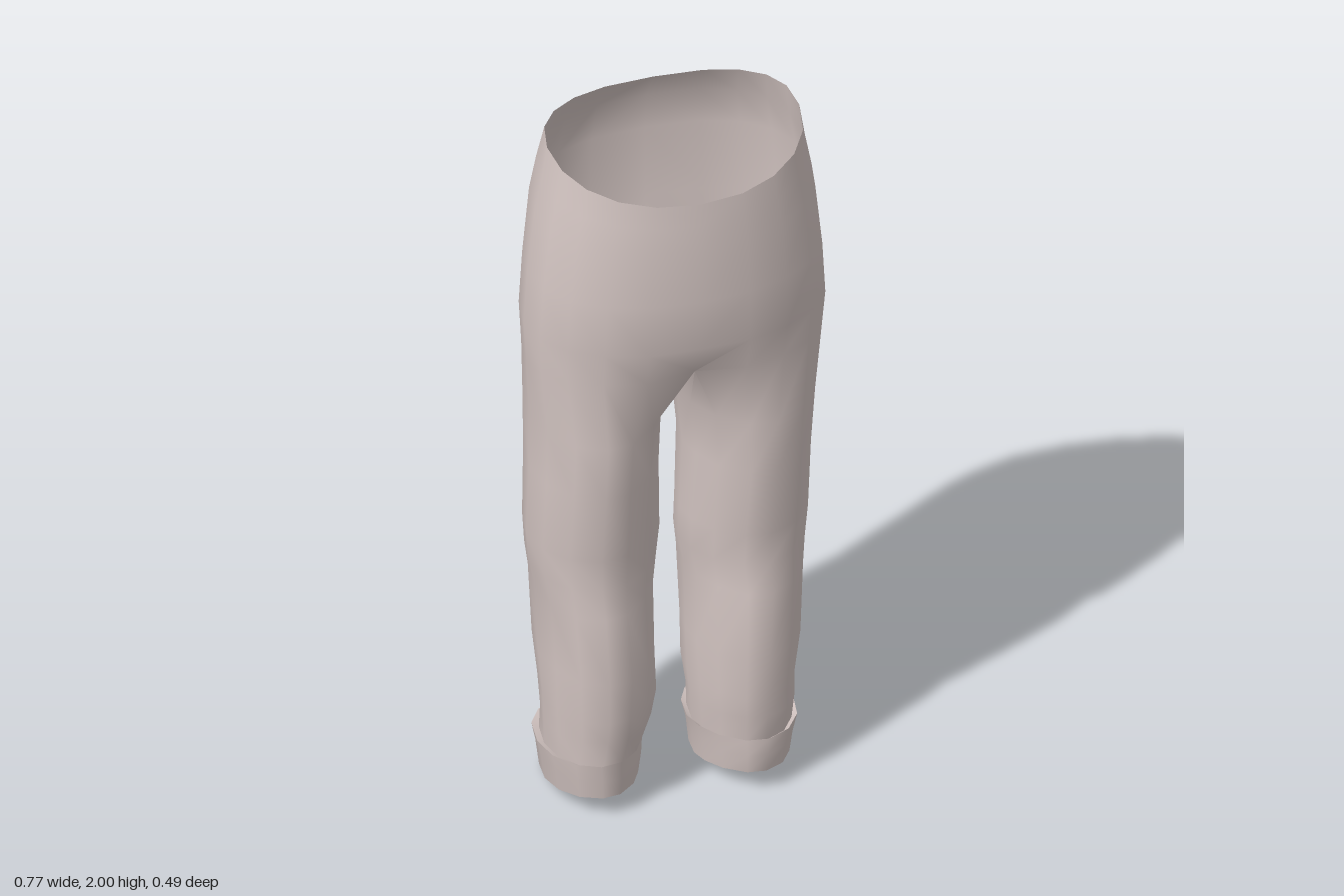
import * as THREE from 'three';
import { mergeGeometries, toCreasedNormals } from 'three/addons/utils/BufferGeometryUtils.js';

const OUT = 10; // segments round the outer side of each half
const INN = 4;  // segments round the inner thigh

// Signed power, used for rounded-box cross-sections
const spow = (v, p) => Math.sign(v) * Math.abs(v) ** p;

// Skin between successive rows of points, running downwards; side -1 flips the winding
function loft(rows, side) {
  const pos = [];
  const tri = (a, b, c) => (side > 0 ? [a, b, c] : [a, c, b]).forEach((p) => pos.push(...p));
  for (let r = 0; r < rows.length - 1; r++) {
    for (let i = 0; i < rows[r].length - 1; i++) {
      const a = rows[r][i], b = rows[r][i + 1], c = rows[r + 1][i], d = rows[r + 1][i + 1];
      tri(a, c, b);
      tri(b, c, d);
    }
  }
  const g = new THREE.BufferGeometry();
  g.setAttribute('position', new THREE.Float32BufferAttribute(pos, 3));
  return g;
}

// Half of a hip section, from centre front round the side to centre back
function hipRow([y, tilt, rx, zf, zb, frontPinch = 1, backPinch = 1, lift = 0], side) {
  const row = [];
  for (let i = 0; i <= OUT; i++) {
    const a = (i / OUT) * Math.PI;
    const c = Math.cos(a), s = Math.sin(a);
    const mid = i === 0 || i === OUT;
    const p = c > 0 ? 0.92 : 0.8;
    const pinch = !mid ? 1 : c > 0 ? frontPinch : backPinch;
    const x = mid ? 0 : side * rx * spow(s, p);
    row.push([x, y - tilt * c + lift * s * s, (c > 0 ? zf : zb) * spow(c, p) * pinch]);
  }
  return row;
}

// Closed leg section, starting at the front of the inner thigh
function legRow([y, xiL, xoL, xiR, xoR, zf, zb], side) {
  const xi = side > 0 ? xiL : xiR, xo = side > 0 ? xoL : xoR;
  const row = [];
  for (let i = 0; i <= OUT + INN; i++) {
    const k = i % (OUT + INN);
    const deg = k <= OUT ? -45 + (270 * k) / OUT : 225 + (90 * (k - OUT)) / INN;
    const a = THREE.MathUtils.degToRad(deg);
    const s = Math.sin(a), c = Math.cos(a);
    // boxy behind, round in front, cut away at the inner front
    const p = c < 0 ? 0.87 : s < 0 ? 1.2 : 1;
    // gentle cloth folds on the lower leg
    const fold = y > 0.2 && y < 0.65 ? 1 + 0.02 * Math.sin(3 * a + y * 22 + side) : 1;
    const x = (xi + xo) / 2 + ((xo - xi) / 2) * spow(s, p) * fold;
    const z = (zf + zb) / 2 + ((zf - zb) / 2) * spow(c, p) * fold;
    // the hem drops towards the heel
    const slope = y < 0.08 ? 0.185 : y < 0.25 ? 0.1 : 0;
    row.push([side * x, y + slope * (z + 0.05), z]);
  }
  return row;
}

// y, front-to-back tilt, half width, front depth, back depth, front pinch, back pinch, side lift
const HIPS = [
  [1.945, 0.055, 0.325, 0.243, 0.17, 1, 1, 0.02],
  [1.87, 0.04, 0.34, 0.247, 0.225],
  [1.78, 0.02, 0.357, 0.25, 0.242],
  [1.6, 0, 0.376, 0.25, 0.237],
  [1.45, 0, 0.385, 0.243, 0.24, 0.97, 0.87],
  [1.335, -0.015, 0.378, 0.215, 0.242, 0.86, 0.68],
];

// y, left inner x, left outer x, right inner x, right outer x, front z, back z
const LEGS = [
  [1.16, 0.015, 0.362, 0.03, 0.365, 0.195, -0.24],
  [1.0, 0.03, 0.352, 0.035, 0.365, 0.18, -0.225],
  [0.8, 0.022, 0.348, 0.03, 0.372, 0.155, -0.2],
  [0.7, 0.025, 0.344, 0.035, 0.36, 0.142, -0.222],
  [0.62, 0.038, 0.34, 0.045, 0.346, 0.155, -0.243],
  [0.42, 0.042, 0.327, 0.038, 0.333, 0.155, -0.24],
  [0.3, 0.047, 0.316, 0.04, 0.328, 0.148, -0.218],
  [0.22, 0.055, 0.312, 0.052, 0.322, 0.14, -0.203],
  [0.145, 0.06, 0.308, 0.073, 0.32, 0.128, -0.21],
];
const CUFF = [
  LEGS[LEGS.length - 1],
  [0.15, 0.05, 0.325, 0.07, 0.335, 0.133, -0.235],
  [0.1, 0.062, 0.312, 0.073, 0.325, 0.13, -0.23],
  [0.033, 0.07, 0.305, 0.08, 0.315, 0.12, -0.226],
];

// Crotch seam between the legs, from back to front
const CROTCH = [[0, 1.26, -0.11], [0, 1.24, -0.02], [0, 1.27, 0.09]];

// Flat fan closing the bottom of a leg
function capGeometry(row, side) {
  const ring = row.slice(0, -1);
  const mid = [0, 1, 2].map((k) => ring.reduce((s, p) => s + p[k], 0) / ring.length);
  const g = loft([row, row.map(() => mid)], side);
  g.computeVertexNormals();
  return g;
}

export function createModel() {
  const model = new THREE.Group();
  model.name = 'trousers';
  const cloth = new THREE.MeshStandardMaterial({ color: 0xd3c5c2, side: THREE.DoubleSide });
  cloth.name = 'dusty pink cloth';

  const add = (name, geometry) => {
    const mesh = new THREE.Mesh(geometry, cloth);
    mesh.name = name;
    model.add(mesh);
  };

  const body = [];
  for (const side of [1, -1]) {
    const label = side > 0 ? 'left' : 'right';

    // Hips and leg, joined along the crotch seam
    const hips = HIPS.map((r) => hipRow(r, side));
    const fork = hips[hips.length - 1];
    const legTop = [...fork, ...CROTCH, fork[0]];
    body.push(loft(hips, side), loft([legTop, ...LEGS.map((r) => legRow(r, side))], side));

    // Turned-up cuff and closed hem
    const cuff = CUFF.map((r) => legRow(r, side));
    add(label + 'Cuff', toCreasedNormals(loft(cuff, side), 0.8));
    add(label + 'HemCap', capGeometry(cuff[cuff.length - 1], side));
  }
  add('hipsAndLegs', toCreasedNormals(mergeGeometries(body), 1.0));
  return model;
}
